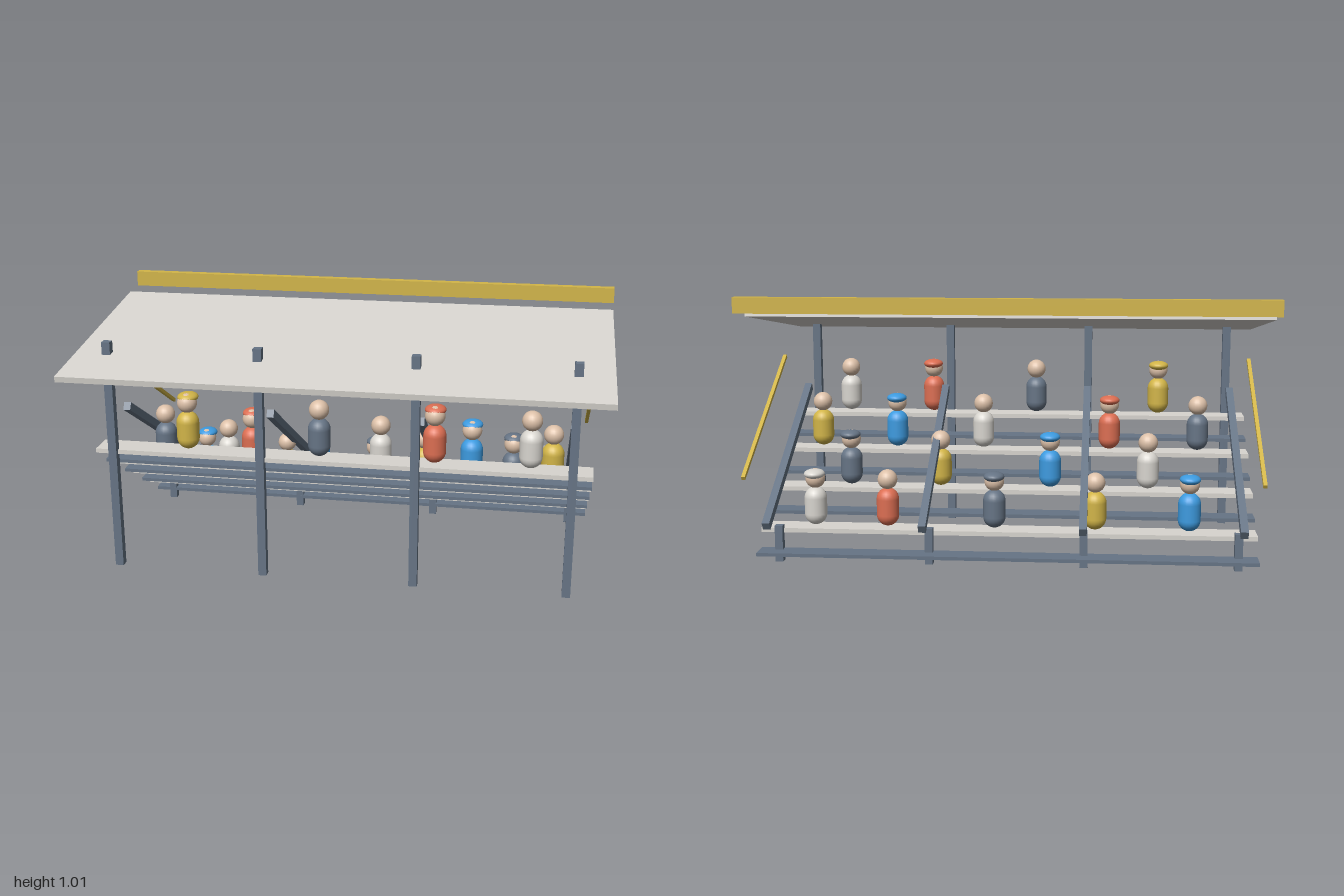
import * as THREE from 'three';

const mat = (name, color) => {
  const m = new THREE.MeshStandardMaterial({ color });
  m.name = name;
  return m;
};

export function createModel() {
  const model = new THREE.Group();
  model.name = 'grandstand';

  const slate = mat('slate', 0x667485);
  const white = mat('offWhite', 0xd8d5cf);
  const gold = mat('gold', 0xd2b548);
  const blue = mat('blue', 0x3d9be0);
  const red = mat('red', 0xdc6e52);
  const skin = mat('skin', 0xdcc0a8);

  const add = (parent, name, geometry, material, x, y, z, tilt = 0) => {
    const mesh = new THREE.Mesh(geometry, material);
    mesh.name = name;
    mesh.position.set(x, y, z);
    mesh.rotation.x = tilt;
    parent.add(mesh);
    return mesh;
  };
  const box = (name, size, material, x, y, z, tilt) =>
    add(model, name, new THREE.BoxGeometry(...size), material, x, y, z, tilt);

  // Canopy and the fascia beam behind it
  box('roof', [1.99, 0.022, 0.865], white, 0, 0.88, 0.16, 0.139);
  box('fasciaBeam', [2, 0.06, 0.034], gold, 0, 0.982, -0.394);

  // Four frames: tall post, short post and sloping stringer
  for (const x of [-0.873, -0.296, 0.289, 0.865]) {
    box('tallPost', [0.032, 0.908, 0.032], slate, x, 0.454, 0.366);
    box('shortPost', [0.03, 0.14, 0.03], slate, x, 0.07, -0.35);
    box('stringer', [0.028, 0.032, 0.836], slate, x, 0.39, -0.173, -0.521);
  }

  // Side handrails
  for (const x of [-0.933, 0.928]) {
    box('handrail', [0.014, 0.014, 0.742], gold, x, 0.557, -0.266, -0.517);
  }

  // Shared spectator shapes
  const bodyGeo = new THREE.CapsuleGeometry(0.043, 0.062, 8, 20);
  const headGeo = new THREE.SphereGeometry(0.038, 20, 14);
  const capGeo = new THREE.SphereGeometry(0.04, 20, 12).scale(1, 0.47, 1.13);

  const addSpectator = (x, seatY, z, colour, hasCap) => {
    const person = new THREE.Group();
    person.name = 'spectator';
    person.position.set(x, seatY, z);
    add(person, 'body', bodyGeo, colour, 0, 0.088, 0);
    add(person, 'head', headGeo, skin, 0, 0.195, 0);
    if (hasCap) add(person, 'cap', capGeo, colour, 0, 0.215, -0.014);
    model.add(person);
  };

  // Each row from top to bottom: [x, colour, cap]
  const rows = [
    [[-0.59, gold, 1], [-0.08, slate, 0], [0.355, red, 1], [0.71, white, 0]],
    [[-0.743, slate, 0], [-0.388, red, 1], [0.125, white, 0], [0.48, blue, 1], [0.79, gold, 0]],
    [[-0.54, white, 0], [-0.157, blue, 1], [0.276, gold, 0], [0.634, slate, 1]],
    [[-0.692, blue, 1], [-0.337, gold, 0], [0.046, slate, 1], [0.456, red, 0], [0.736, white, 1]],
  ];
  rows.forEach((people, i) => {
    const y = 0.47 - i * 0.1177;
    const z = 0.311 - i * 0.199;
    box('seatBench', [1.884, 0.017, 0.106], white, -0.003, y, z);
    box('footBoard', [1.884, 0.013, 0.086], slate, -0.003, y - 0.076, z - 0.091);
    for (const [x, colour, cap] of people) addSpectator(x, y, z, colour, cap);
  });

  return model;
}
